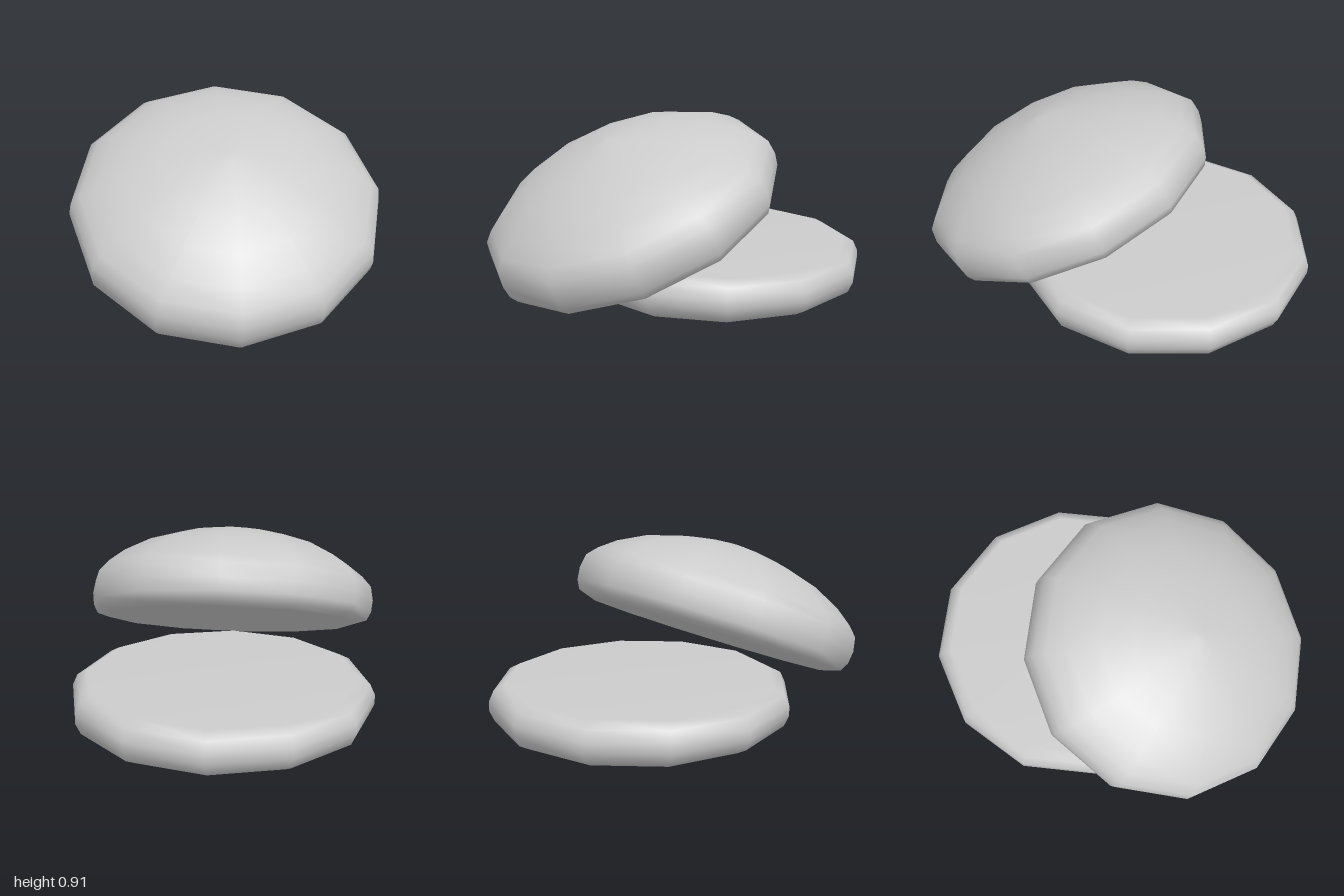
import * as THREE from 'three';

const material = new THREE.MeshStandardMaterial({ color: 0xcccccc });

// Smooth twelve-sided bun half from a [radius, height] profile, bottom to top
function makeBun(name, profile) {
  const points = profile.map(([r, y]) => new THREE.Vector2(r, y));
  const mesh = new THREE.Mesh(new THREE.LatheGeometry(points, 12), material);
  mesh.name = name;
  return mesh;
}

export function createModel() {
  const model = new THREE.Group();
  model.name = 'openBun';

  // Flat lower half with rounded rim
  const bottomBun = makeBun('bottomBun', [
    [0, 0], [0.69, 0], [0.745, 0.03], [0.77, 0.085],
    [0.77, 0.135], [0.745, 0.19], [0.69, 0.22], [0, 0.22],
  ]);
  bottomBun.position.z = -0.23;
  model.add(bottomBun);

  // Domed upper half, tipped forward and resting on the lower rim
  const topBun = makeBun('topBun', [
    [0, 0], [0.675, 0], [0.737, 0.02], [0.761, 0.065], [0.769, 0.13],
    [0.757, 0.205], [0.71, 0.258], [0.625, 0.325], [0.485, 0.4],
    [0.32, 0.454], [0.16, 0.488], [0.03, 0.506], [0, 0.506],
  ]);
  topBun.position.set(0, 0.353, 0.241);
  topBun.rotation.x = THREE.MathUtils.degToRad(23.6);
  model.add(topBun);

  return model;
}
